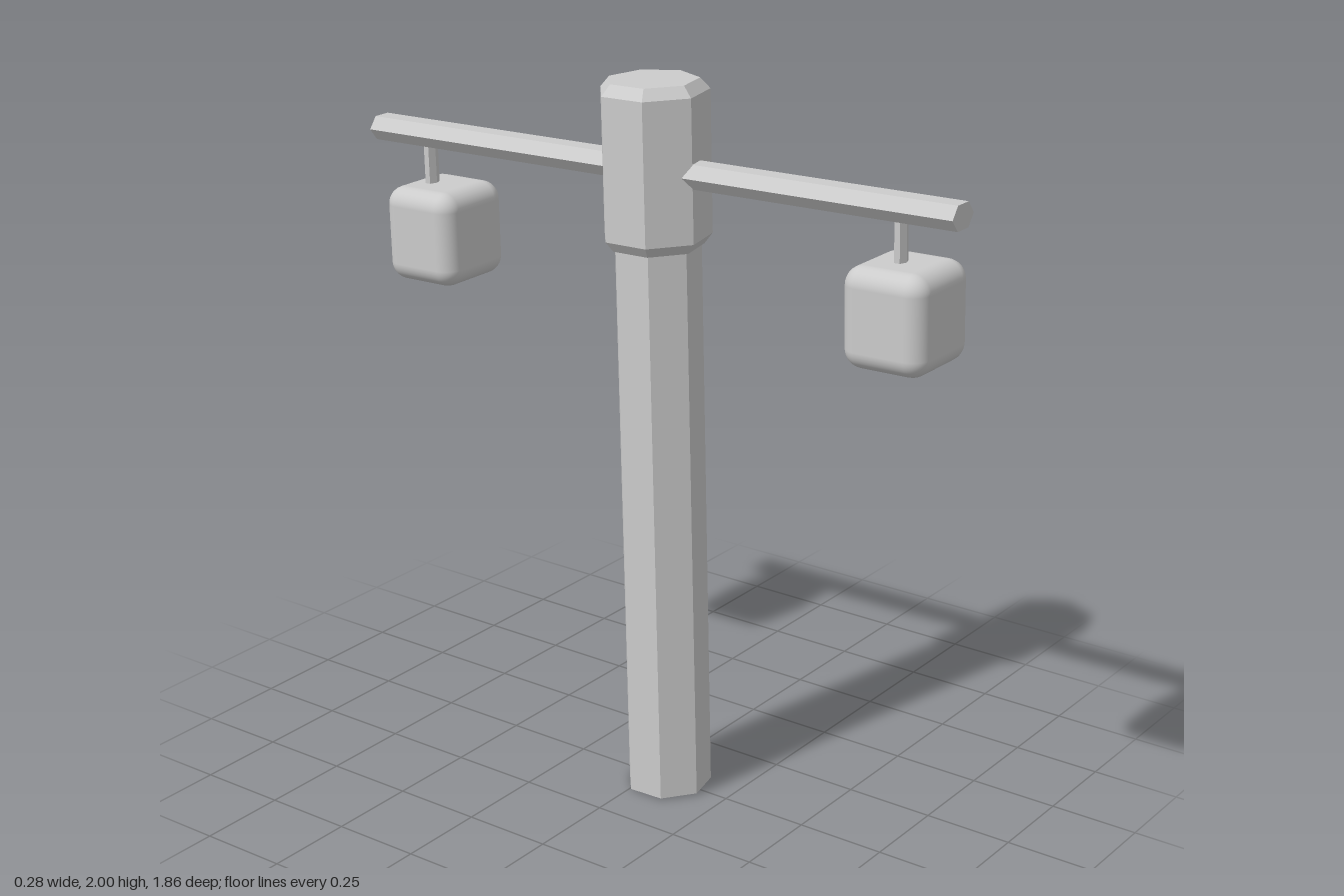
import * as THREE from 'three';
import { RoundedBoxGeometry } from 'three/addons/geometries/RoundedBoxGeometry.js';

const flat = new THREE.MeshStandardMaterial({ color: 0xcccccc, flatShading: true });
const smooth = new THREE.MeshStandardMaterial({ color: 0xcccccc });

export function createModel() {
  const model = new THREE.Group();
  model.name = 'lampPost';

  // Everything leans together, slightly towards the back
  const leaning = new THREE.Group();
  leaning.name = 'leaningPost';
  leaning.position.set(-0.007, 0.003, 0.058);
  leaning.rotation.x = -0.028;
  model.add(leaning);

  const add = (name, geometry, material, x, y, z) => {
    const mesh = new THREE.Mesh(geometry, material);
    mesh.name = name;
    mesh.position.set(x, y, z);
    leaning.add(mesh);
    return mesh;
  };

  // Seven-sided solid with a corner on +x, from [radius, height] pairs
  const heptagonal = (profile) => new THREE.LatheGeometry(
    profile.map(([r, y]) => new THREE.Vector2(r, y)), 7, Math.PI / 2);

  add('post', heptagonal([[0, 0], [0.119, 0], [0.119, 1.6], [0, 1.6]]), flat, 0, 0, 0);
  // Thicker head with bevelled ends
  add('postHead', heptagonal([
    [0, 1.555], [0.126, 1.555], [0.148, 1.583], [0.148, 1.965], [0.122, 1.994], [0, 1.994],
  ]), flat, 0, 0, 0);

  // Flattened hexagonal crossbar running front to back
  const bar = new THREE.CylinderGeometry(0.05, 0.05, 1.858, 6);
  bar.rotateY(Math.PI / 2);
  bar.rotateX(Math.PI / 2);
  bar.scale(1, 0.75, 1);
  add('crossbar', bar, flat, -0.006, 1.761, -0.009);

  // A hanger and a rounded lantern at each end
  const hanger = new THREE.CylinderGeometry(0.016, 0.016, 0.16, 6);
  hanger.scale(1.45, 1, 1);
  const lantern = new RoundedBoxGeometry(0.25, 0.263, 0.237, 5, 0.05);
  for (const [side, hangerZ, lanternZ] of [['front', 0.75, 0.759], ['back', -0.76, -0.727]]) {
    add(side + 'Hanger', hanger, flat, -0.008, 1.68, hangerZ);
    add(side + 'Lantern', lantern, smooth, -0.002, 1.493, lanternZ);
  }
  return model;
}
